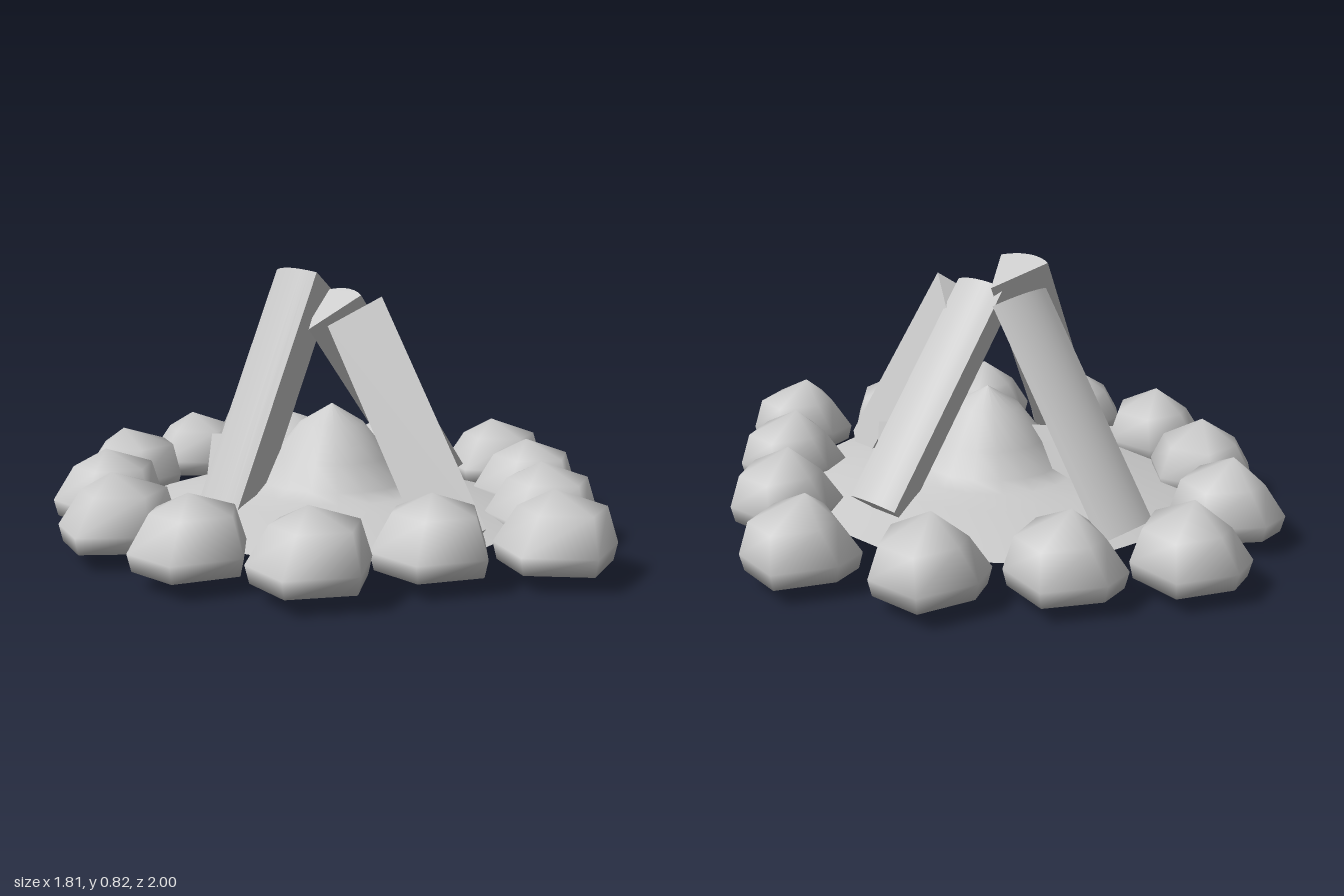
import * as THREE from 'three';
import { toCreasedNormals } from 'three/addons/utils/BufferGeometryUtils.js';

const material = new THREE.MeshStandardMaterial({ color: 0xcccccc });
const openMaterial = new THREE.MeshStandardMaterial({ color: 0xcccccc, side: THREE.DoubleSide });

// Split log: a 60 degree wedge. The sharp edge runs from top to foot, the bark faces "bark".
function makeLog(name, top, foot, bark) {
  const a = new THREE.Vector3(...top);
  const dir = new THREE.Vector3(...foot).sub(a);
  const length = dir.length();
  dir.normalize();
  const out = new THREE.Vector3(...bark);
  out.addScaledVector(dir, -out.dot(dir)).normalize();
  const side = new THREE.Vector3().crossVectors(out, dir);

  const radius = 0.19;
  const wedge = new THREE.Shape();
  wedge.moveTo(0, 0);
  wedge.lineTo(radius * Math.cos(Math.PI / 3), radius * Math.sin(Math.PI / 3));
  wedge.absarc(0, 0, radius, Math.PI / 3, (2 * Math.PI) / 3, false);
  wedge.closePath();
  const geometry = new THREE.ExtrudeGeometry(wedge, { depth: length, bevelEnabled: false, curveSegments: 4 });
  const mesh = new THREE.Mesh(toCreasedNormals(geometry, 0.5), material);
  mesh.quaternion.setFromRotationMatrix(new THREE.Matrix4().makeBasis(side, out, dir));
  mesh.position.copy(a);
  mesh.name = name;
  return mesh;
}

// Rounded rock with a flat base, built from scaled copies of one outline
function makeStoneGeometry() {
  const outline = [[-0.175, 0.02], [-0.04, 0.168], [0.145, 0.095], [0.173, -0.08], [0.01, -0.17], [-0.1, -0.145]];
  const rings = [[0.05, 0.93, 0], [0.1, 1, 0], [0.2, 0.72, 0.025]]; // height, scale, shift in x
  const n = outline.length;
  const points = [];
  const index = [];
  for (const [y, s, shift] of rings) for (const [x, z] of outline) points.push(x * s + shift, y, z * s);
  const bottom = points.length / 3;
  points.push(0, 0.05, 0, -0.02, 0.26, 0);
  for (let i = 0; i < n; i++) {
    const j = (i + 1) % n;
    for (let r = 0; r < rings.length - 1; r++) {
      const p = r * n;
      index.push(p + i, p + j, p + n + j, p + i, p + n + j, p + n + i);
    }
    index.push(bottom, j, i, 2 * n + i, 2 * n + j, bottom + 1);
  }
  const geometry = new THREE.BufferGeometry();
  geometry.setAttribute('position', new THREE.Float32BufferAttribute(points, 3));
  geometry.setIndex(index);
  geometry.computeVertexNormals();
  return geometry;
}

export function createModel() {
  const group = new THREE.Group();
  group.name = 'campfire';

  // Ash bed with a steep heap in the middle, open underneath
  const profile = [[0.62, 0.07], [0.5, 0.1], [0.38, 0.127], [0.28, 0.14], [0.23, 0.165], [0.18, 0.24], [0.1, 0.34], [0, 0.4]];
  const mound = new THREE.Mesh(
    new THREE.LatheGeometry(profile.map(([r, y]) => new THREE.Vector2(r, y)), 18), openMaterial);
  mound.scale.set(0.96, 1, 1.04);
  mound.position.x = -0.04;
  mound.name = 'ashMound';
  group.add(mound);

  // Four leaning logs and one lying through the mound
  group.add(
    makeLog('frontLog', [-0.01, 0.74, 0.19], [-0.01, 0.11, 0.617], [0, -0.56, -0.83]),
    makeLog('rightLog', [0.04, 0.74, -0.085], [-0.275, 0.045, -0.085], [-1, 0, 0]),
    makeLog('leftLog', [-0.13, 0.635, -0.005], [0.338, 0.046, -0.005], [1, 0, 0]),
    makeLog('backLog', [-0.01, 0.645, -0.07], [-0.01, 0.02, -0.488], [0.31, 0.53, -0.79]),
    makeLog('lyingLog', [0.21, 0.285, 0.24], [-0.26, 0.285, -0.33], [0, -1, 0]),
  );

  // Ring of stones: x, z, turn
  const stones = [
    [0.04, -0.83, 0], [-0.32, -0.72, -0.2], [-0.56, -0.46, 0.4], [-0.73, -0.15, 0.15], [-0.72, 0.2, 0.5],
    [-0.57, 0.52, 0.3], [-0.24, 0.635, 0.4], [0.04, 0.83, 0], [0.29, 0.58, 0.1], [0.535, 0.315, 0.2],
    [0.74, -0.01, 0], [0.59, -0.36, 0.2], [0.32, -0.62, -0.1],
  ];
  const stoneGeometry = makeStoneGeometry();
  const ring = new THREE.Group();
  ring.name = 'stoneRing';
  for (const [x, z, turn] of stones) {
    const stone = new THREE.Mesh(stoneGeometry, material);
    stone.position.set(x, 0, z);
    stone.rotation.y = turn;
    stone.name = 'stone';
    ring.add(stone);
  }
  group.add(ring);
  return group;
}
